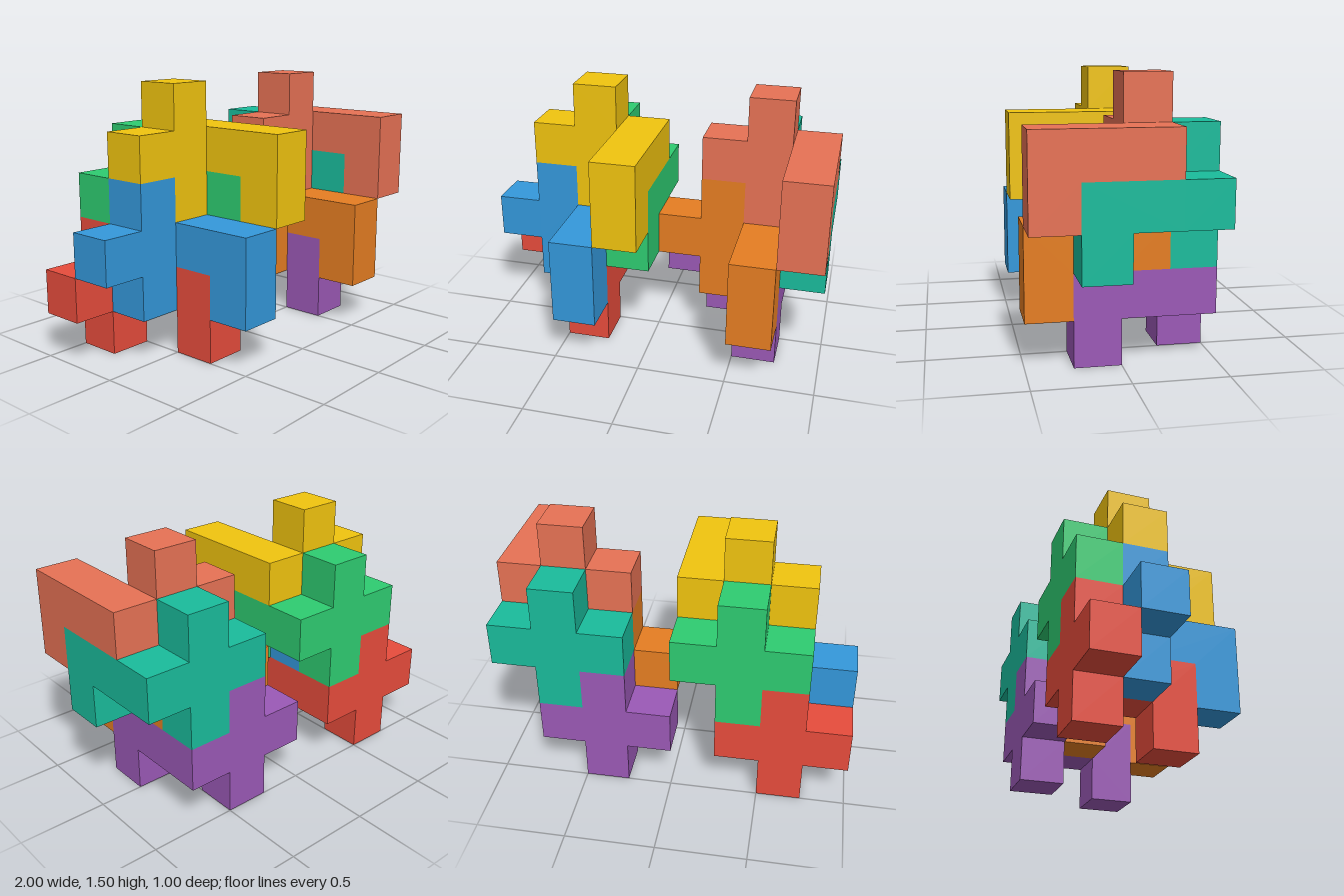
import * as THREE from 'three';

const U = 0.25; // edge of one cube cell

const shapeFrom = (points) =>
  new THREE.Shape(points.map(([x, y]) => new THREE.Vector2(x * U, y * U)));

const extrude = (shape) =>
  new THREE.ExtrudeGeometry(shape, { depth: U, bevelEnabled: false });

// Five-cell plus, one cell thick, centred on its middle cell
function plusGeometry() {
  const a = 0.5, b = 1.5;
  const shape = shapeFrom([
    [-a, -b], [a, -b], [a, -a], [b, -a], [b, a], [a, a],
    [a, b], [-a, b], [-a, a], [-b, a], [-b, -a], [-a, -a],
  ]);
  return extrude(shape).translate(0, 0, -U / 2);
}

// Arm running forward from the left tip of the plus, ending one cell down
function hookGeometry() {
  const shape = shapeFrom([
    [0.5, -0.5], [1.5, -0.5], [1.5, -1.5], [2.5, -1.5], [2.5, 0.5], [0.5, 0.5],
  ]);
  return extrude(shape).rotateY(-Math.PI / 2).translate(1.5 * U, 0, 0);
}

// Name, colour and centre cell (column, row, layer from the back)
const PIECES = [
  ['redPiece', 0xe74c3c, 1, 1, 0],
  ['bluePiece', 0x3498db, 1, 2, 1],
  ['greenPiece', 0x2ecc71, 2, 3, 0],
  ['yellowPiece', 0xf1c40f, 2, 4, 1],
  ['purplePiece', 0x9b59b6, 5, 1, 0],
  ['orangePiece', 0xe67e22, 5, 2, 1],
  ['tealPiece', 0x1abc9c, 6, 3, 0],
  ['salmonPiece', 0xe77255, 6, 4, 1],
];

export function createModel() {
  const model = new THREE.Group();
  model.name = 'interlockingBlocks';
  const plus = plusGeometry();
  const hook = hookGeometry();

  for (const [name, color, i, j, k] of PIECES) {
    const material = new THREE.MeshStandardMaterial({ color });
    const piece = new THREE.Group();
    piece.name = name;
    for (const [part, geometry] of [['plus', plus], ['hook', hook]]) {
      const mesh = new THREE.Mesh(geometry, material);
      mesh.name = part;
      piece.add(mesh);
    }
    piece.position.set((i + 0.5) * U - 1, (j + 0.5) * U, (k + 0.5) * U - 0.5);
    model.add(piece);
  }
  return model;
}
